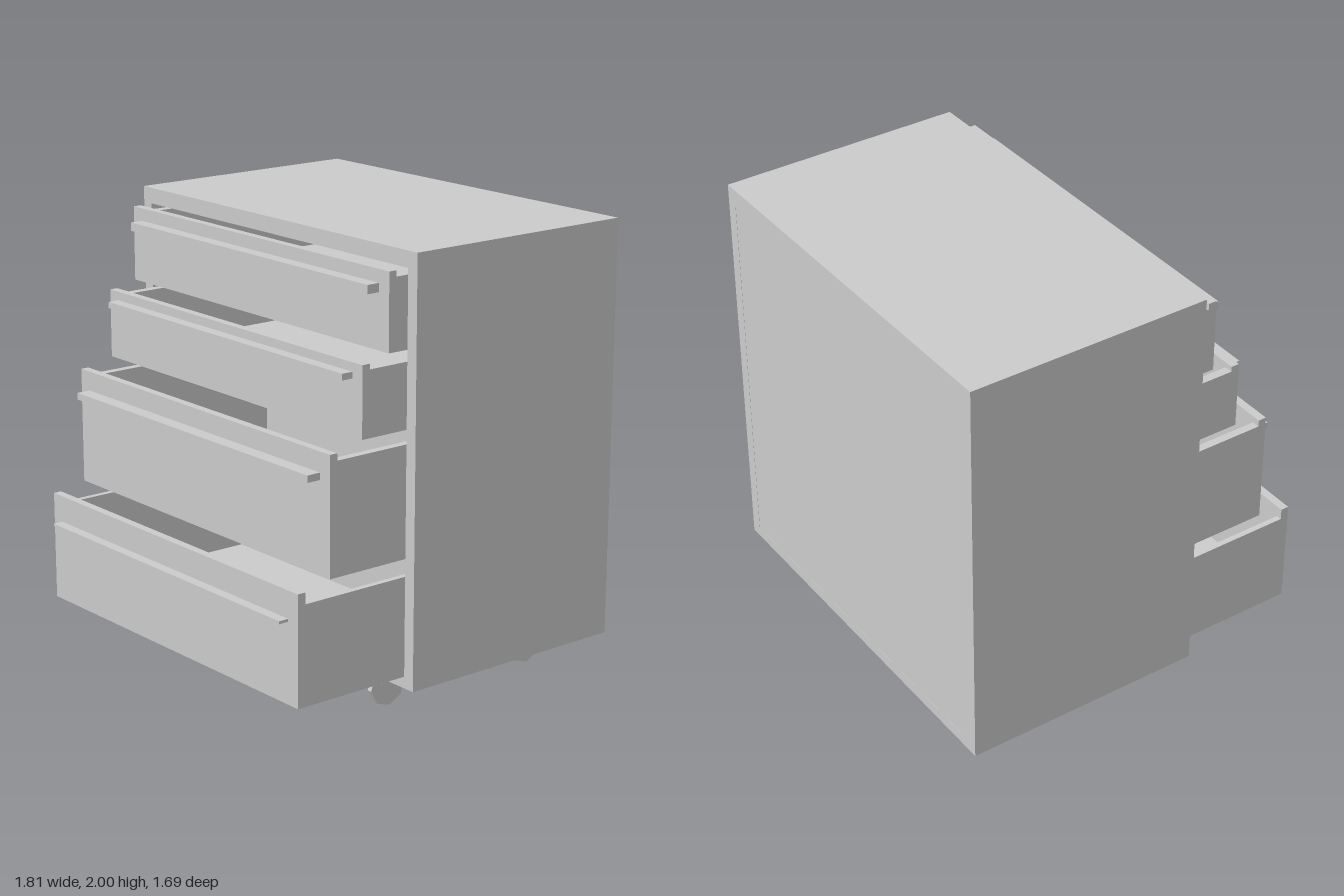
import * as THREE from 'three';

const grey = new THREE.MeshStandardMaterial({ color: 0xcccccc, flatShading: true });

// Box given by its min and max on each axis
function box(name, x0, x1, y0, y1, z0, z1) {
  const mesh = new THREE.Mesh(new THREE.BoxGeometry(x1 - x0, y1 - y0, z1 - z0), grey);
  mesh.position.set((x0 + x1) / 2, (y0 + y1) / 2, (z0 + z1) / 2);
  mesh.name = name;
  return mesh;
}

// Hollow carcass, open at the front
function createCabinet() {
  const g = new THREE.Group();
  g.name = 'cabinet';
  const frame = new THREE.Shape();
  frame.moveTo(-0.905, 0.19).lineTo(0.905, 0.19).lineTo(0.905, 2).lineTo(-0.905, 2).closePath();
  const opening = new THREE.Path();
  opening.moveTo(-0.851, 0.239).lineTo(-0.851, 1.931).lineTo(0.851, 1.931).lineTo(0.851, 0.239).closePath();
  frame.holes.push(opening);
  const walls = new THREE.Mesh(new THREE.ExtrudeGeometry(frame, { depth: 1.095, bevelEnabled: false }), grey);
  walls.position.z = -0.845;
  walls.name = 'cabinetWalls';
  g.add(walls, box('cabinetBack', -0.86, 0.86, 0.23, 1.94, -0.844, -0.79));
  return g;
}

// Open tray with a taller front panel and a bar handle
function createDrawer({ bottom, top, sideTop, front, wall, handle }) {
  const g = new THREE.Group();
  g.name = 'drawer';
  const w = 0.85, back = front - 1.03, inner = front - 0.037;
  const floor = bottom + 0.035;
  g.add(
    box('drawerFront', -w, w, bottom, top, inner, front),
    box('drawerFloor', -w + wall, w - wall, bottom, floor, back + wall, inner),
    box('drawerBack', -w + wall, w - wall, bottom, sideTop, back, back + wall),
    box('drawerSideRight', -w, -w + wall, bottom, sideTop, back, inner),
    box('drawerSideLeft', w - wall, w, bottom, sideTop, back, inner),
    box('drawerHandle', -0.79, 0.79, handle[0], handle[1], front, handle[2])
  );
  return g;
}

// Caster: oval mounting plate, round-ended bracket and eight-sided wheel
function createCaster(side, z) {
  const g = new THREE.Group();
  g.name = 'caster';
  const plate = new THREE.Mesh(new THREE.CylinderGeometry(1, 1, 0.008, 16), grey);
  plate.scale.set(0.078, 1, 0.043);
  plate.position.set(side * 0.67, 0.187, 0);
  plate.name = 'casterPlate';

  const outline = new THREE.Shape();
  outline.moveTo(0.043, 0.19).lineTo(-0.043, 0.19).lineTo(-0.043, 0.125);
  outline.absarc(0, 0.125, 0.043, Math.PI, 2 * Math.PI, false);
  outline.closePath();
  const bracketGeo = new THREE.ExtrudeGeometry(outline, { depth: 0.012, bevelEnabled: false, curveSegments: 5 });
  bracketGeo.translate(0, 0, -0.006);
  bracketGeo.rotateY(Math.PI / 2);
  const bracket = new THREE.Mesh(bracketGeo, grey);
  bracket.position.x = side * 0.622;
  bracket.name = 'casterBracket';

  const wheelGeo = new THREE.CylinderGeometry(0.092, 0.092, 0.022, 8);
  wheelGeo.rotateZ(Math.PI / 2);
  wheelGeo.rotateX(0.1);
  const wheel = new THREE.Mesh(wheelGeo, grey);
  wheel.position.set(side * 0.606, 0.093, 0);
  wheel.name = 'casterWheel';

  g.add(plate, bracket, wheel);
  g.position.set(-0.0225, 0, z);
  return g;
}

export function createModel() {
  const model = new THREE.Group();
  model.name = 'drawerCabinet';
  model.add(createCabinet());

  // Drawers from top to bottom, each pulled out further
  const drawers = [
    { bottom: 1.605, top: 1.93, sideTop: 1.905, front: 0.345, wall: 0.042, handle: [1.838, 1.875, 0.403] },
    { bottom: 1.28, top: 1.58, sideTop: 1.557, front: 0.478, wall: 0.038, handle: [1.515, 1.542, 0.53] },
    { bottom: 0.743, top: 1.25, sideTop: 1.22, front: 0.64, wall: 0.036, handle: [1.135, 1.165, 0.703] },
    { bottom: 0.24, top: 0.717, sideTop: 0.668, front: 0.8, wall: 0.026, handle: [0.588, 0.6, 0.845] },
  ];
  for (const d of drawers) model.add(createDrawer(d));

  for (const side of [-1, 1])
    for (const z of [0.115, -0.675]) model.add(createCaster(side, z));
  return model;
}
